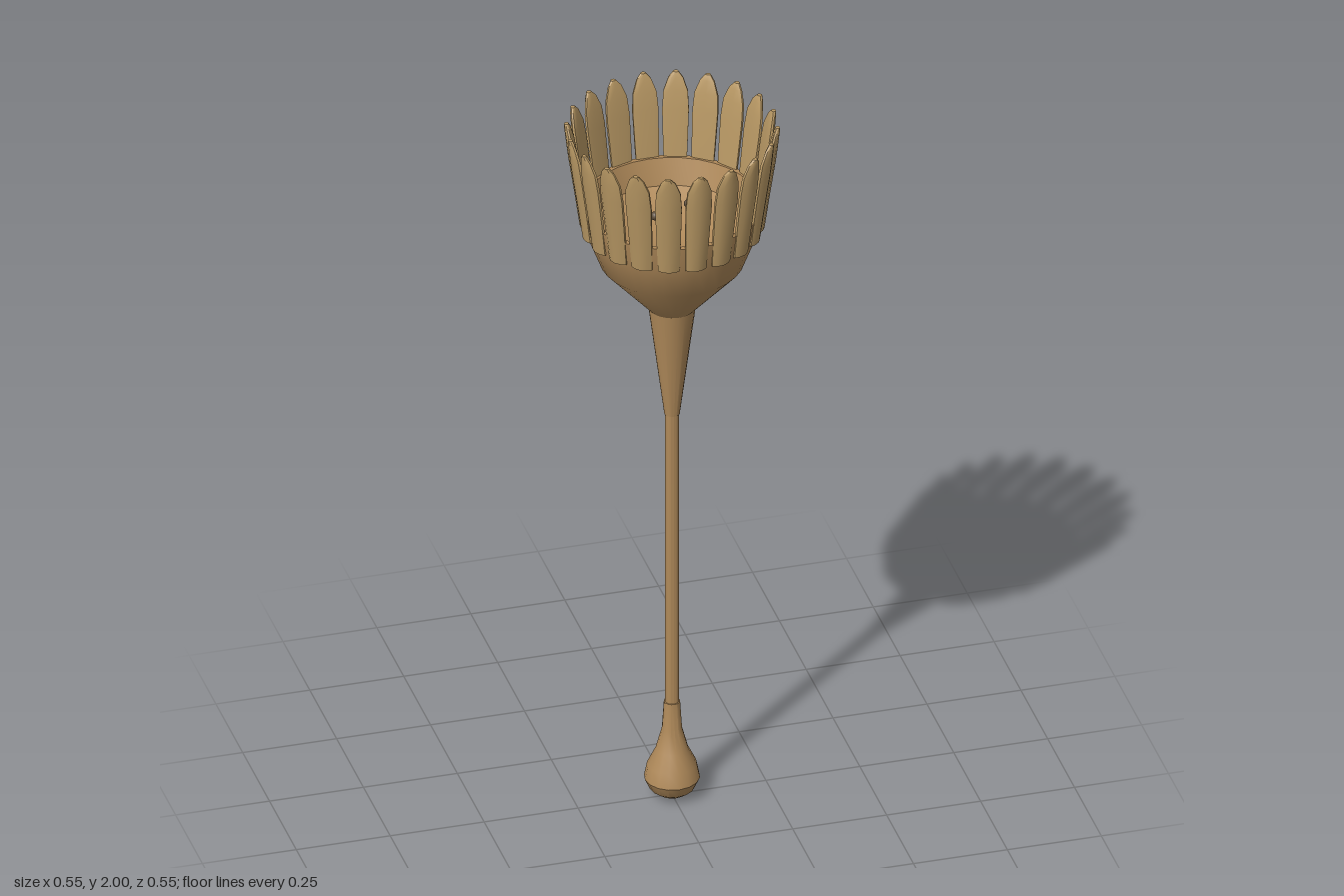
import * as THREE from 'three';
import { toCreasedNormals } from 'three/addons/utils/BufferGeometryUtils.js';

const paint = (color) => new THREE.MeshStandardMaterial({ color, side: THREE.DoubleSide });

// Turned part from [radius, height] pairs, listed from bottom to top
function turned(name, profile, material, segments = 24) {
  const points = profile.map(([r, y]) => new THREE.Vector2(r, y));
  const geometry = toCreasedNormals(new THREE.LatheGeometry(points, segments), 0.5);
  const mesh = new THREE.Mesh(geometry, material);
  mesh.name = name;
  return mesh;
}

// Leaning, thick petal lofted through [height, distance from axis, half width, half thickness]
function petalGeometry() {
  const sections = [
    [1.70, 0.228, 0.029, 0.009],
    [1.80, 0.241, 0.033, 0.010],
    [1.90, 0.255, 0.036, 0.011],
    [1.95, 0.262, 0.033, 0.010],
    [1.985, 0.268, 0.020, 0.008],
    [2.00, 0.271, 0.007, 0.006],
  ];
  const rows = sections.length - 1;
  const geometry = new THREE.CylinderGeometry(1, 1, rows, 10, rows);
  const pos = geometry.attributes.position;
  for (let i = 0; i < pos.count; i++) {
    const [y, out, w, t] = sections[Math.round(pos.getY(i) + rows / 2)];
    const u = pos.getX(i);
    // edges curl gently towards the axis
    pos.setXYZ(i, u * w, y, out + pos.getZ(i) * t - u * u * w * 0.2);
  }
  return toCreasedNormals(geometry, 0.7);
}

export function createModel() {
  const model = new THREE.Group();
  const wood = paint(0xb08a5a);
  const petalPaint = paint(0xb89864);
  const dark = paint(0x5c4c3a);

  // Rounded foot and slender stem
  model.add(turned('footBulb', [
    [0, 0], [0.035, 0.008], [0.058, 0.025], [0.072, 0.055], [0.064, 0.095],
    [0.042, 0.14], [0.026, 0.20], [0.021, 0.28], [0, 0.28],
  ], wood, 16));
  model.add(turned('stem', [[0.018, 0.2], [0.018, 1.16]], wood, 16));
  model.add(turned('flare', [[0, 1.14], [0.02, 1.14], [0.061, 1.46], [0, 1.47]], wood, 20));

  // Hollow cup: outer wall, rim, then the bowl inside
  model.add(turned('cup', [
    [0, 1.46], [0.061, 1.46], [0.186, 1.60], [0.224, 1.70], [0.236, 1.77], [0.222, 1.77],
    [0.2, 1.70], [0.13, 1.665], [0.06, 1.645], [0, 1.64],
  ], wood, 32));

  // Ring of petals
  const petals = new THREE.Group();
  petals.name = 'petals';
  const shape = petalGeometry();
  const count = 20;
  for (let i = 0; i < count; i++) {
    const petal = new THREE.Mesh(shape, petalPaint);
    petal.name = 'petal';
    petal.rotation.y = (i / count) * Math.PI * 2;
    petals.add(petal);
  }
  model.add(petals);

  // Two small dark seeds above the bowl
  for (const [x, z, r] of [[-0.051, 0.021, 0.012], [0.046, -0.016, 0.01]]) {
    const seed = new THREE.Mesh(new THREE.SphereGeometry(r, 12, 8), dark);
    seed.name = 'seed';
    seed.position.set(x, 1.75, z);
    model.add(seed);
  }
  return model;
}
